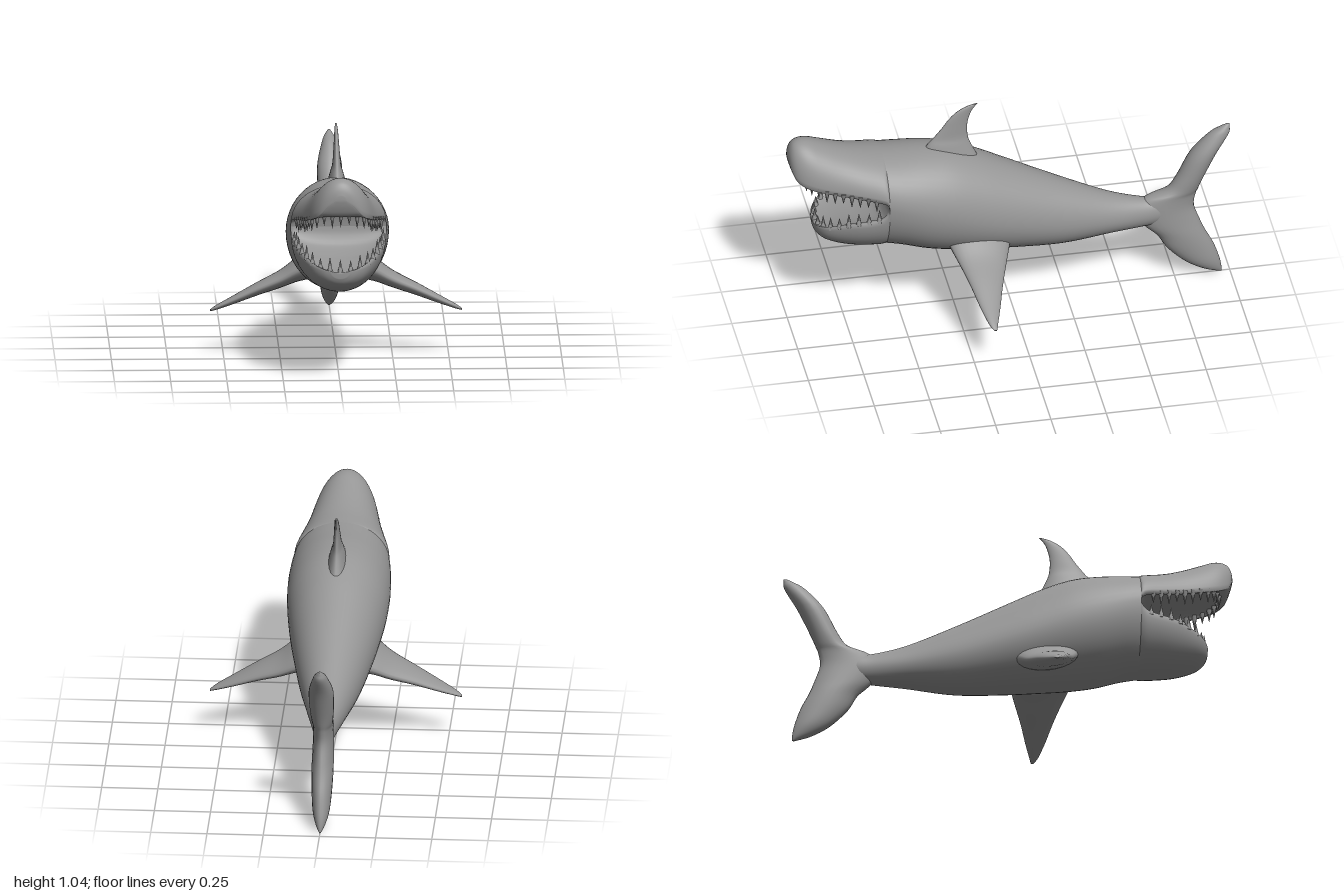
import * as THREE from 'three';

const skin = new THREE.MeshStandardMaterial({ color: 0x969696 });
skin.name = 'grey skin';

// Smoothly resample a table of cross-section measurements
function refine(rows, steps) {
  const out = [];
  const at = i => rows[Math.min(Math.max(i, 0), rows.length - 1)];
  for (let i = 0; i < rows.length - 1; i++) {
    for (let s = 0; s < steps; s++) {
      const t = s / steps;
      out.push(rows[i].map((b, k) => {
        const a = at(i - 1)[k], c = at(i + 1)[k], d = at(i + 2)[k];
        return b + 0.5 * t * (c - a + t * (2 * a - 5 * b + 4 * c - d + t * (3 * (b - c) + d - a)));
      }));
    }
  }
  out.push(rows[rows.length - 1]);
  return out;
}

const centre = ring => ring.reduce((c, p) => c.add(p), new THREE.Vector3()).divideScalar(ring.length);

// Skin a list of closed rings, optionally capping either end
function loft(name, rings, capStart = true, capEnd = true) {
  const n = rings[0].length, points = rings.flat(), index = [];
  const m = Math.floor(rings.length / 2), mid = centre(rings[m]);
  const facing = new THREE.Vector3();
  rings[m].forEach((p, i) => {
    const q = rings[m][(i + 1) % n];
    facing.add(p.clone().sub(mid).cross(q.clone().sub(mid)));
  });
  const flip = facing.dot(centre(rings[m + 1]).sub(mid)) < 0;
  const tri = (a, b, c) => (flip ? index.push(a, c, b) : index.push(a, b, c));
  for (let r = 0; r < rings.length - 1; r++) {
    for (let i = 0; i < n; i++) {
      const j = (i + 1) % n, a = r * n, b = a + n;
      tri(a + i, a + j, b + j);
      tri(a + i, b + j, b + i);
    }
  }
  const cap = (r, end) => {
    const c = points.push(centre(rings[r])) - 1;
    for (let i = 0; i < n; i++) {
      const p = r * n + i, q = r * n + (i + 1) % n;
      if (end) tri(c, p, q); else tri(c, q, p);
    }
  };
  if (capStart) cap(0, false);
  if (capEnd) cap(rings.length - 1, true);
  const geometry = new THREE.BufferGeometry().setFromPoints(points);
  geometry.setIndex(index);
  geometry.computeVertexNormals();
  const mesh = new THREE.Mesh(geometry, skin);
  mesh.name = name;
  return mesh;
}

const HALF = 24;

// Body ring: two half ellipses meeting at the widest height
function bodyRing([z, top, mid, bottom, w]) {
  return Array.from({ length: HALF * 2 }, (_, i) => {
    const a = (i / HALF) * Math.PI, s = Math.sin(a);
    return new THREE.Vector3(w * Math.cos(a), mid + s * (s > 0 ? top - mid : mid - bottom), z);
  });
}

// Jaw ring: outer half ellipse, then the hollow mouth lining back again
function jawRing([z, edge, lip, w, hollow]) {
  const ring = [];
  for (let i = 0; i <= HALF; i++) {
    const a = (i / HALF) * Math.PI;
    ring.push(new THREE.Vector3(w * Math.cos(a), lip + (edge - lip) * Math.sin(a), z));
  }
  for (let i = HALF; i >= 0; i--) {
    const a = (i / HALF) * Math.PI;
    ring.push(new THREE.Vector3(0.92 * w * Math.cos(a), lip + hollow * Math.sin(a), z));
  }
  return ring;
}

// Upright fin ring: chord along z, thickness along x
function uprightRing([y, front, back, t]) {
  return Array.from({ length: 24 }, (_, i) => {
    const a = (i / 12) * Math.PI;
    return new THREE.Vector3(t * Math.sin(a), y, (front + back) / 2 + (front - back) / 2 * Math.cos(a));
  });
}

// Side fin ring: chord along z, thickness along y, leading edge slightly raised
function sideRing([x, y, front, back, t], side) {
  return Array.from({ length: 24 }, (_, i) => {
    const a = (i / 12) * Math.PI, c = (front - back) / 2 * Math.cos(a);
    return new THREE.Vector3(side * x, y + t * Math.sin(a) + 0.12 * c, (front + back) / 2 + c);
  });
}

// Row of pointed teeth along a mirrored lip curve
function teethRow(name, half, count, direction) {
  const v = half.map(p => new THREE.Vector3(...p));
  const mirrored = v.slice(0, -1).reverse().map(p => new THREE.Vector3(-p.x, p.y, p.z));
  const curve = new THREE.CatmullRomCurve3([...v, ...mirrored]);
  const group = new THREE.Group();
  group.name = name;
  for (let i = 0; i < count; i++) {
    const h = [0.07, 0.055, 0.065][i % 3];
    const geometry = new THREE.ConeGeometry(0.014, h, 6);
    geometry.translate(0, h / 2 - 0.012, 0);
    const tooth = new THREE.Mesh(geometry, skin);
    tooth.name = 'tooth';
    tooth.position.copy(curve.getPointAt(i / (count - 1)));
    if (direction < 0) tooth.rotation.x = Math.PI;
    group.add(tooth);
  }
  return group;
}

export function createModel() {
  const model = new THREE.Group();
  model.name = 'shark';

  // Trunk from the tail root to the mouth corner: z, top, widest height, bottom, half width
  const trunk = [
    [-0.76, 0.39, 0.365, 0.34, 0.025], [-0.68, 0.43, 0.365, 0.305, 0.045], [-0.6, 0.44, 0.367, 0.295, 0.058],
    [-0.45, 0.485, 0.38, 0.288, 0.09], [-0.23, 0.588, 0.42, 0.272, 0.14], [0, 0.705, 0.485, 0.288, 0.185],
    [0.14, 0.775, 0.53, 0.303, 0.208], [0.27, 0.825, 0.575, 0.318, 0.224], [0.39, 0.845, 0.61, 0.34, 0.229],
    [0.5, 0.85, 0.645, 0.372, 0.223], [0.575, 0.855, 0.665, 0.386, 0.213]];
  model.add(loft('body', refine(trunk, 5).map(bodyRing), true, false));

  // Jaws: z, outer edge, lip, half width, hollow
  const upper = [
    [0.575, 0.855, 0.665, 0.213, 0], [0.583, 0.856, 0.69, 0.211, 0.02], [0.61, 0.86, 0.703, 0.205, 0.045],
    [0.68, 0.872, 0.716, 0.186, 0.055], [0.76, 0.895, 0.73, 0.165, 0.05], [0.85, 0.929, 0.748, 0.147, 0.04],
    [0.905, 0.95, 0.762, 0.133, 0.025], [0.945, 0.954, 0.777, 0.116, 0.005], [0.975, 0.943, 0.8, 0.092, -0.006],
    [0.992, 0.917, 0.837, 0.06, -0.008], [1, 0.885, 0.865, 0.02, -0.004]];
  const lower = [
    [0.575, 0.386, 0.665, 0.213, 0], [0.583, 0.387, 0.64, 0.212, -0.015], [0.61, 0.388, 0.616, 0.209, -0.035],
    [0.68, 0.394, 0.6, 0.197, -0.045], [0.74, 0.402, 0.588, 0.18, -0.045], [0.8, 0.418, 0.566, 0.153, -0.035],
    [0.845, 0.438, 0.547, 0.122, -0.022], [0.875, 0.464, 0.532, 0.08, -0.01], [0.888, 0.49, 0.522, 0.04, -0.004]];
  model.add(loft('upperJaw', refine(upper, 4).map(jawRing), false, true));
  model.add(loft('lowerJaw', refine(lower, 4).map(jawRing), false, true));

  // Teeth
  model.add(teethRow('upperTeeth', [[0.188, 0.706, 0.63], [0.166, 0.724, 0.72], [0.146, 0.74, 0.81],
    [0.118, 0.766, 0.895], [0.06, 0.782, 0.932], [0, 0.786, 0.94]], 23, -1));
  model.add(teethRow('lowerTeeth', [[0.197, 0.612, 0.62], [0.172, 0.59, 0.74], [0.115, 0.548, 0.835],
    [0.055, 0.53, 0.868], [0, 0.525, 0.876]], 17, 1));

  // Dorsal fin: y, front, back, half thickness
  const dorsal = [
    [0.75, 0.42, 0.13, 0.055], [0.84, 0.375, 0.172, 0.032], [0.88, 0.342, 0.184, 0.02],
    [0.93, 0.302, 0.187, 0.015], [0.97, 0.274, 0.181, 0.012], [1.01, 0.235, 0.167, 0.009],
    [1.035, 0.19, 0.15, 0.006], [1.046, 0.15, 0.139, 0.003]];
  model.add(loft('dorsalFin', refine(dorsal, 4).map(uprightRing)));

  // Tail fin with a long upper lobe and a shorter lower lobe
  const tail = [
    [0.002, -0.95, -0.963, 0.004], [0.03, -0.875, -0.962, 0.022], [0.08, -0.795, -0.952, 0.038],
    [0.16, -0.715, -0.925, 0.046], [0.235, -0.67, -0.888, 0.049], [0.3, -0.605, -0.862, 0.048],
    [0.375, -0.57, -0.838, 0.046], [0.435, -0.61, -0.846, 0.045], [0.47, -0.71, -0.858, 0.047],
    [0.535, -0.76, -0.885, 0.053], [0.65, -0.82, -0.94, 0.055], [0.74, -0.9, -0.995, 0.033],
    [0.772, -0.95, -1, 0.018], [0.79, -0.985, -1, 0.004]];
  model.add(loft('tailFin', refine(tail, 4).map(uprightRing)));

  // Pectoral fins: x, y, front, back, half thickness
  const pectoral = [
    [0.12, 0.415, 0.31, 0.01, 0.07], [0.18, 0.385, 0.292, 0.032, 0.054], [0.25, 0.345, 0.266, 0.058, 0.04],
    [0.35, 0.302, 0.238, 0.092, 0.03], [0.45, 0.256, 0.214, 0.122, 0.02], [0.53, 0.22, 0.19, 0.148, 0.011],
    [0.56, 0.205, 0.173, 0.158, 0.004]];
  for (const side of [1, -1]) {
    model.add(loft(side > 0 ? 'leftPectoralFin' : 'rightPectoralFin',
      refine(pectoral, 4).map(row => sideRing(row, side))));
  }
  return model;
}
